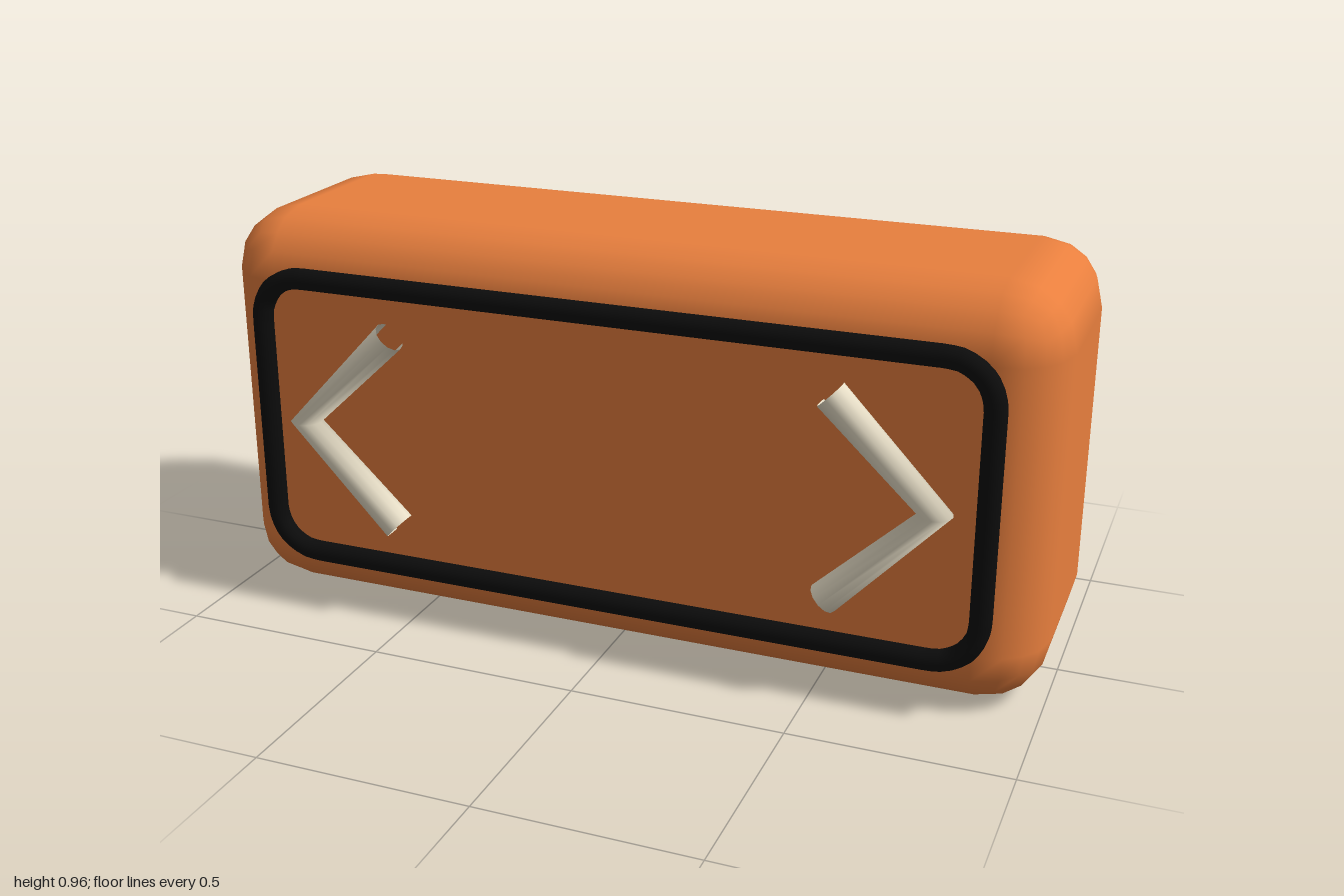
import * as THREE from 'three';
import { RoundedBoxGeometry } from 'three/addons/geometries/RoundedBoxGeometry.js';

const material = (color) => new THREE.MeshStandardMaterial({ color });

// Joins points with straight segments into one path
function polyline(points) {
  const path = new THREE.CurvePath();
  for (let i = 1; i < points.length; i++) {
    path.add(new THREE.LineCurve3(points[i - 1], points[i]));
  }
  return path;
}

// Centre line of the frame: a rounded rectangle
function roundedLoop(halfW, halfH, r, z) {
  const points = [];
  const corners = [[1, 1], [-1, 1], [-1, -1], [1, -1]];
  corners.forEach(([sx, sy], i) => {
    for (let k = 0; k <= 6; k++) {
      const a = (i + k / 6) * Math.PI / 2;
      points.push(new THREE.Vector3(
        sx * (halfW - r) + r * Math.cos(a),
        sy * (halfH - r) + r * Math.sin(a),
        z
      ));
    }
  });
  points.push(points[0].clone());
  return polyline(points);
}

export function createModel() {
  const group = new THREE.Group();
  const midY = 0.48;

  const add = (name, geometry, mat) => {
    const mesh = new THREE.Mesh(geometry, mat);
    mesh.name = name;
    group.add(mesh);
    return mesh;
  };

  // Soft-edged body
  const body = add('body', new RoundedBoxGeometry(2, 0.96, 0.65, 2, 0.15), material(0xe87f3e));
  body.position.set(0, midY, -0.03);

  // Black tube framing the front face
  const frame = add('frontFrame',
    new THREE.TubeGeometry(roundedLoop(0.87, 0.347, 0.105, 0.306), 240, 0.025, 10, true),
    material(0x0c0c0c));
  frame.position.y = midY;

  // Pair of arrow rods pointing outwards, pinched at the tip
  const cream = material(0xe8dfc8);
  cream.side = THREE.DoubleSide;
  for (const side of [-1, 1]) {
    const path = polyline([
      new THREE.Vector3(side * 0.525, 0.237, 0),
      new THREE.Vector3(side * 0.762, 0, 0),
      new THREE.Vector3(side * 0.525, -0.237, 0)
    ]);
    const arrow = add(side > 0 ? 'leftArrow' : 'rightArrow',
      new THREE.TubeGeometry(path, 2, 0.038, 12, false), cream);
    arrow.position.set(0, midY, 0.318);
  }

  return group;
}
